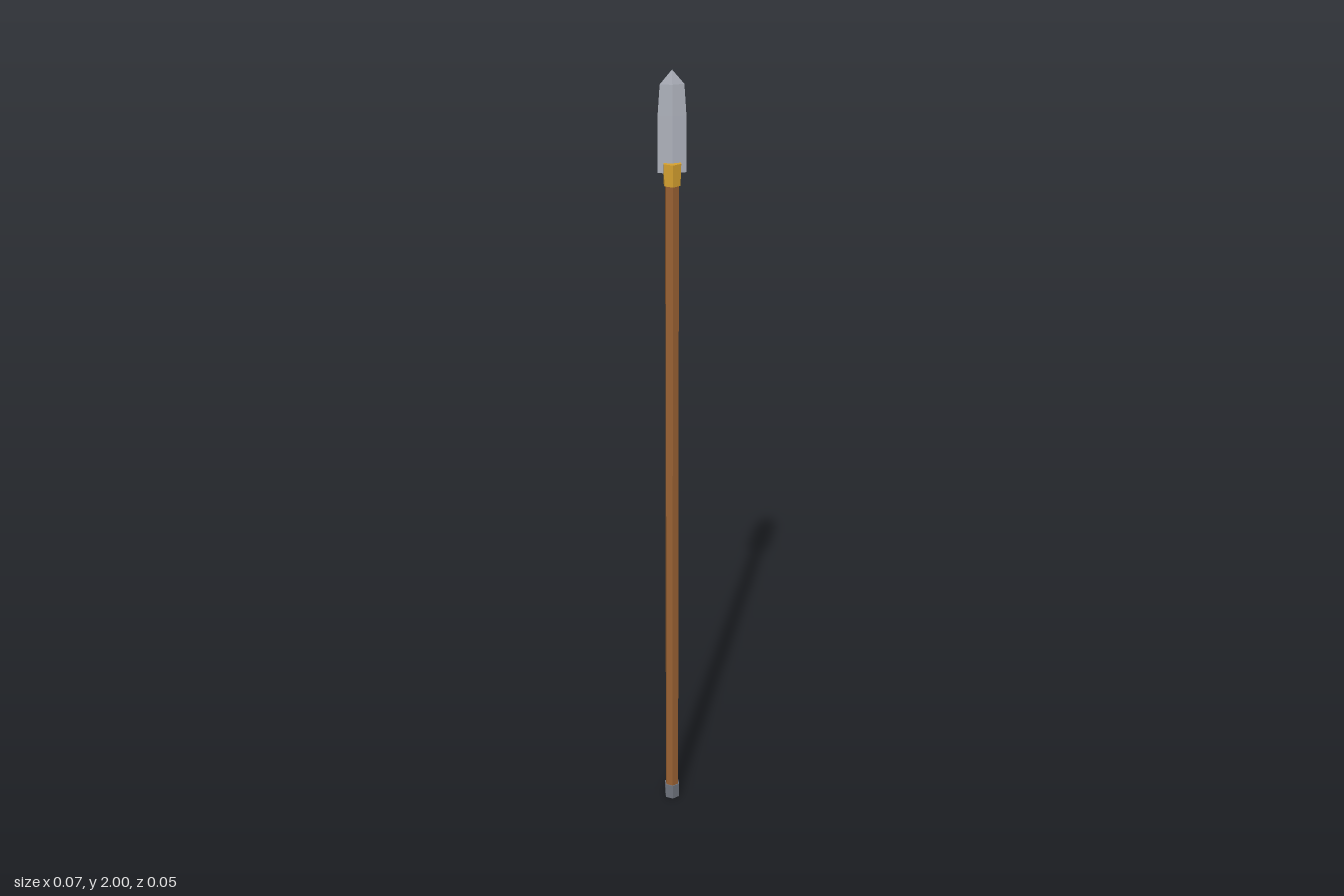
import * as THREE from 'three';

const paint = (color) => new THREE.MeshStandardMaterial({ color, flatShading: true });

// Six-sided upright section between two heights, corners facing +z and -z
function hexSection(name, rTop, rBottom, y0, y1, material) {
  const geometry = new THREE.CylinderGeometry(rTop, rBottom, y1 - y0, 6);
  geometry.translate(0, (y0 + y1) / 2, 0);
  const mesh = new THREE.Mesh(geometry, material);
  mesh.name = name;
  return mesh;
}

export function createModel() {
  const spear = new THREE.Group();
  spear.name = 'spear';

  // Shaft, butt cap and collar
  spear.add(
    hexSection('shaft', 0.018, 0.018, 0.03, 1.73, paint(0x9a6233)),
    hexSection('buttCap', 0.021, 0.02, 0, 0.04, paint(0x70757f)),
    hexSection('collar', 0.024, 0.022, 1.72, 1.775, paint(0xd9a431)),
  );

  // Blade: four-sided profile flattened to a thin diamond section
  const profile = [[0, 1.75], [0.035, 1.75], [0.034, 1.89], [0.029, 1.965], [0, 2]]
    .map(([r, y]) => new THREE.Vector2(r, y));
  const bladeGeometry = new THREE.LatheGeometry(profile, 4);
  bladeGeometry.scale(1, 1, 0.2);
  const blade = new THREE.Mesh(bladeGeometry, paint(0xaeb2bc));
  blade.name = 'blade';
  spear.add(blade);

  return spear;
}
